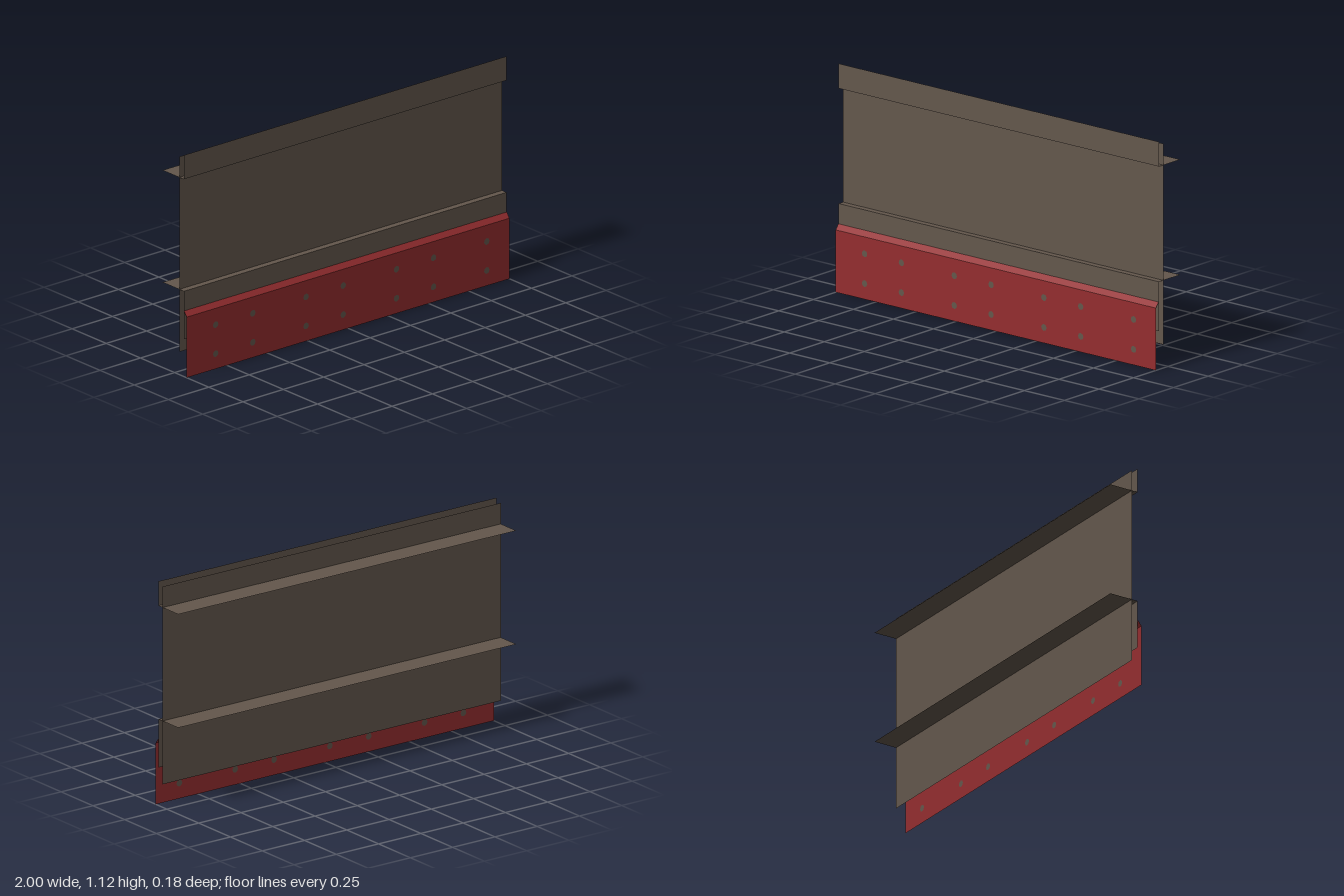
import * as THREE from 'three';

const LENGTH = 2;
const FRONT = 0.088, FLANGE = 0.067, WEB = 0.034, BACK = -0.088;

export function createModel() {
  const model = new THREE.Group();
  const brown = new THREE.MeshStandardMaterial({ color: 0x63574c, side: THREE.DoubleSide });
  brown.name = 'brown steel';
  const red = new THREE.MeshStandardMaterial({ color: 0x942d2f, side: THREE.DoubleSide });
  red.name = 'red paint';

  // Flat sheet running the full length between two [y, z] edges
  function sheet(name, [y0, z0], [y1, z1], material) {
    const geometry = new THREE.PlaneGeometry(LENGTH, Math.hypot(y1 - y0, z1 - z0));
    const mesh = new THREE.Mesh(geometry, material);
    mesh.name = name;
    mesh.position.set(0, (y0 + y1) / 2, (z0 + z1) / 2);
    mesh.rotation.x = Math.atan2(z1 - z0, y1 - y0);
    model.add(mesh);
  }

  // Upright panel and the two angle rails that pass through it
  sheet('backPanel', [0.115, WEB], [1.105, WEB], brown);
  sheet('upperFlange', [1.0, FLANGE], [1.122, FLANGE], brown);
  sheet('upperShelf', [1.0, FLANGE], [1.0, BACK], brown);
  sheet('lowerFlange', [0.19, FLANGE], [0.432, FLANGE], brown);
  sheet('lowerShelf', [0.432, FLANGE], [0.432, BACK], brown);

  // Red cutting plate with a bevelled top edge and bolt holes
  const bevelY = 0.307;
  sheet('plateBevel', [bevelY, FRONT], [0.333, FLANGE + 0.002], red);
  const plate = new THREE.Shape([
    new THREE.Vector2(-1, 0), new THREE.Vector2(1, 0),
    new THREE.Vector2(1, bevelY), new THREE.Vector2(-1, bevelY),
  ]);

  // Bolt heads fill the holes flush with the plate
  const boltRadius = 0.017, sides = 8;
  const bolt = new THREE.CircleGeometry(boltRadius, sides);
  for (const x of [-0.82, -0.59, -0.26, -0.03, 0.3, 0.53, 0.86]) {
    for (const y of [0.077, 0.224]) {
      const corners = [];
      for (let i = 0; i < sides; i++) {
        const a = (i / sides) * Math.PI * 2;
        corners.push(new THREE.Vector2(x + boltRadius * Math.cos(a), y + boltRadius * Math.sin(a)));
      }
      plate.holes.push(new THREE.Path(corners));
      const mesh = new THREE.Mesh(bolt, brown);
      mesh.name = 'bolt';
      mesh.position.set(x, y, FRONT);
      model.add(mesh);
    }
  }
  const plateMesh = new THREE.Mesh(new THREE.ShapeGeometry(plate), red);
  plateMesh.name = 'cuttingPlate';
  plateMesh.position.z = FRONT;
  model.add(plateMesh);

  return model;
}
